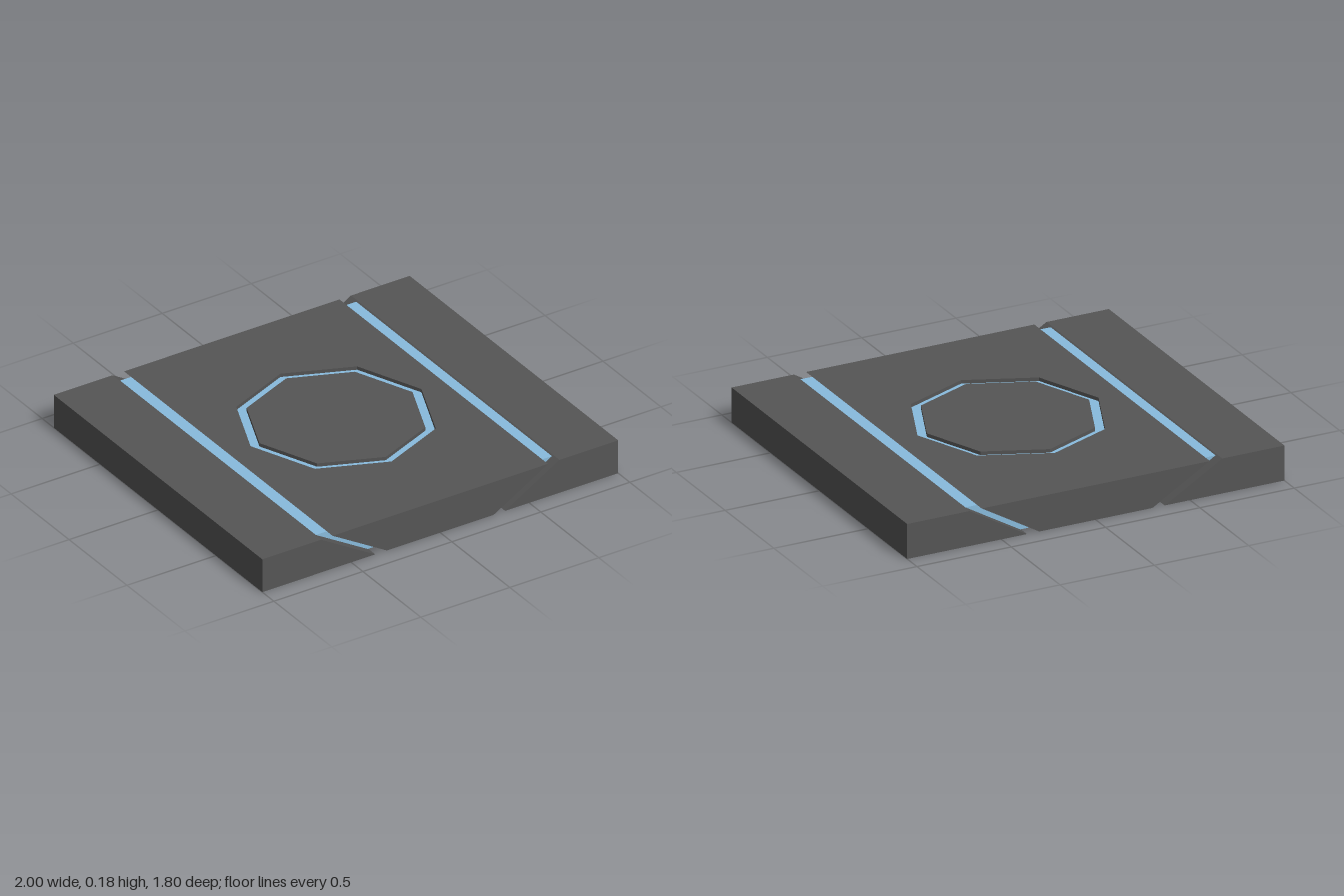
import * as THREE from 'three';

const H = 0.18, HALF_Z = 0.9, GROOVE = 0.02;
const dark = new THREE.MeshStandardMaterial({ color: 0x555555, flatShading: true });
const blue = new THREE.MeshStandardMaterial({ color: 0x88bbdd, flatShading: true });

// half width of the centre slab at height y; the slanted slot is 0.065 wide
const slope = (y) => 0.3 + (0.305 * y) / H;
const SLOT = 0.065;

function add(group, name, geometry, material) {
  const mesh = new THREE.Mesh(geometry, material);
  mesh.name = name;
  group.add(mesh);
}

// extrude an x-y cross-section along z, centred
function prism(points, halfZ) {
  const shape = new THREE.Shape(points.map(([x, y]) => new THREE.Vector2(x, y)));
  const g = new THREE.ExtrudeGeometry(shape, { depth: halfZ * 2, bevelEnabled: false });
  return g.translate(0, 0, -halfZ);
}

// extrude an x-z outline upward from height y
function plate(shape, y, height) {
  const g = new THREE.ExtrudeGeometry(shape, { depth: height, bevelEnabled: false });
  return g.rotateX(-Math.PI / 2).translate(0, y, 0);
}

function octagon(r) {
  return Array.from({ length: 8 }, (_, i) =>
    new THREE.Vector2(r * Math.cos((i * Math.PI) / 4), r * Math.sin((i * Math.PI) / 4)));
}

export function createModel() {
  const group = new THREE.Group();
  const floorY = H - GROOVE;

  // centre slab below the ring groove
  const w = slope(floorY);
  add(group, 'centreSlab', prism([[-0.3, 0], [0.3, 0], [w, floorY], [-w, floorY]], HALF_Z), dark);

  // top layer with an octagonal hole, its long sides following the slope
  const top = new THREE.Shape([[-1, -1], [1, -1], [1, 1], [-1, 1]].map(
    ([x, z]) => new THREE.Vector2(x * 0.605, z * HALF_Z)));
  top.holes.push(new THREE.Path(octagon(0.48)));
  const topGeo = plate(top, floorY, GROOVE);
  const p = topGeo.attributes.position;
  for (let i = 0; i < p.count; i++) {
    if (Math.abs(p.getX(i)) > 0.55) p.setX(i, Math.sign(p.getX(i)) * slope(p.getY(i)));
  }
  topGeo.computeVertexNormals();
  add(group, 'centreTop', topGeo, dark);

  // raised middle and the blue floor of the ring groove
  add(group, 'octagonPlug', plate(new THREE.Shape(octagon(0.43)), floorY, GROOVE), dark);
  const ring = new THREE.Shape(octagon(0.48));
  ring.holes.push(new THREE.Path(octagon(0.43)));
  add(group, 'ringInlay', plate(ring, floorY - 0.005, 0.007), blue);

  // outer blocks and the slanted inlays in the slots
  for (const [side, s] of [['left', 1], ['right', -1]]) {
    const mirror = (pts) => pts.map(([x, y]) => [x * s, y]);
    const block = [[0.3 + SLOT, 0], [1, 0], [1, H], [slope(H) + SLOT, H]];
    add(group, side + 'Block', prism(mirror(block), HALF_Z), dark);
    const lo = 0.004, hi = H - 0.004;
    const strip = [[slope(lo), lo], [slope(lo) + SLOT, lo], [slope(hi) + SLOT, hi], [slope(hi), hi]];
    add(group, side + 'Inlay', prism(mirror(strip), 0.845), blue);
  }
  return group;
}
